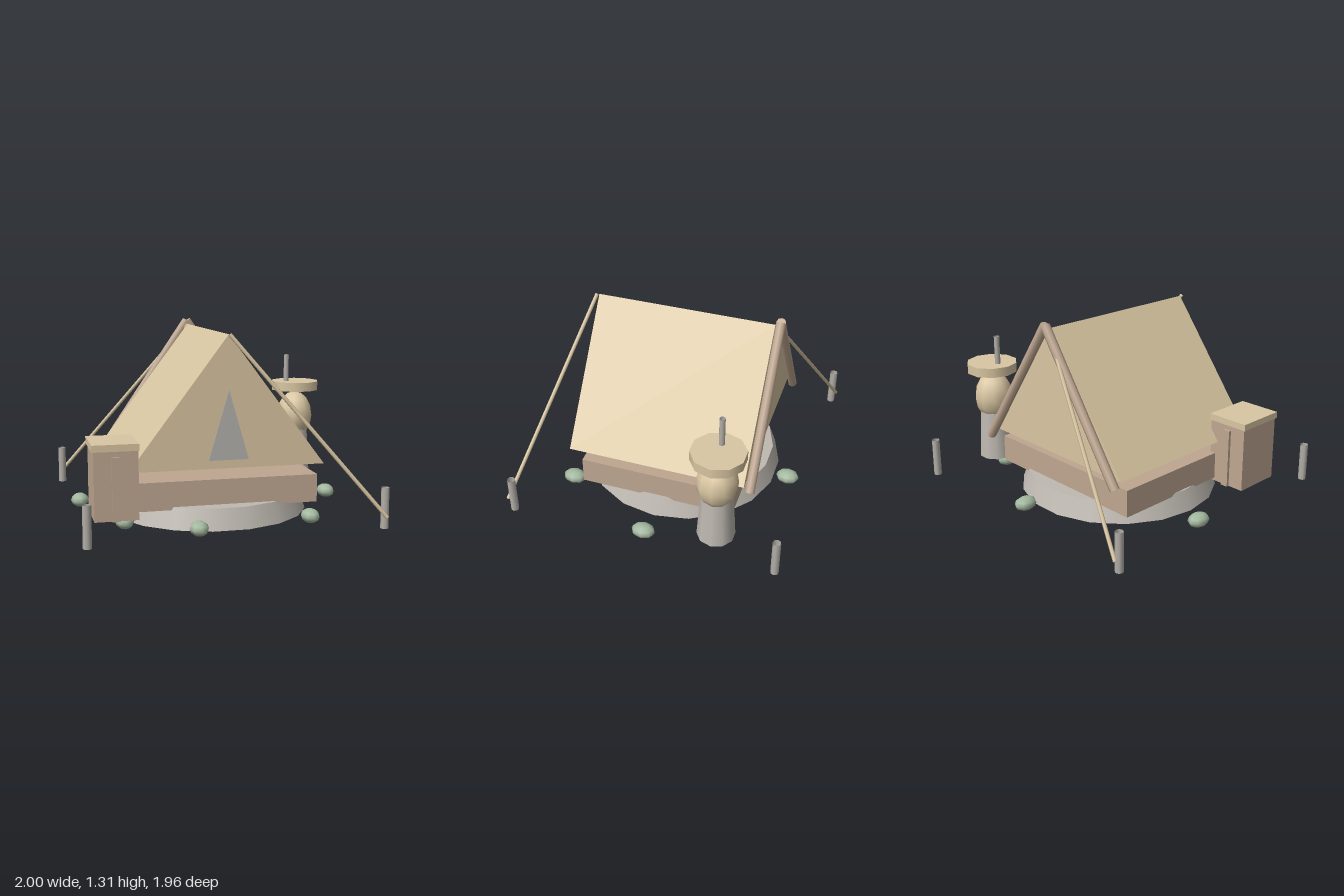
import * as THREE from 'three';

export function createModel() {
  const group = new THREE.Group();
  const material = (name, color, side = THREE.FrontSide) => {
    const m = new THREE.MeshStandardMaterial({ color, side });
    m.name = name;
    return m;
  };
  const canvas = material('canvas', 0xdac7a3);
  const wood = material('wood', 0xbfa791);
  const stone = material('stone', 0xbfbab2);
  const metal = material('metal', 0xb3afa8, THREE.DoubleSide);
  const flap = material('flap', 0xb6b4b0);
  const leaf = material('leaf', 0xa3b89f);

  const add = (name, geometry, mat, x = 0, y = 0, z = 0) => {
    const mesh = new THREE.Mesh(geometry, mat);
    mesh.name = name;
    mesh.position.set(x, y, z);
    group.add(mesh);
    return mesh;
  };
  const box = (name, mat, x0, x1, y0, y1, z0, z1) =>
    add(name, new THREE.BoxGeometry(x1 - x0, y1 - y0, z1 - z0), mat,
      (x0 + x1) / 2, (y0 + y1) / 2, (z0 + z1) / 2);
  // Upright round part between two heights, with a corner on the x axis
  const round = (name, mat, rTop, rBottom, y0, y1, x, z, sides, open = false) => {
    const g = new THREE.CylinderGeometry(rTop, rBottom, y1 - y0, sides, 1, open);
    return add(name, g.rotateY(Math.PI / 2), mat, x, (y0 + y1) / 2, z);
  };
  // Straight rod between two points
  const rod = (name, mat, a, b, radius, sides) => {
    const from = new THREE.Vector3(...a), to = new THREE.Vector3(...b);
    const dir = to.clone().sub(from);
    const mesh = add(name, new THREE.CylinderGeometry(radius, radius, dir.length(), sides), mat);
    mesh.position.copy(from).add(to).multiplyScalar(0.5);
    mesh.quaternion.setFromUnitVectors(new THREE.Vector3(0, 1, 0), dir.normalize());
  };
  // Triangular prism running along z
  const prism = (name, mat, x0, x1, y0, y1, z0, z1) => {
    const shape = new THREE.Shape([
      new THREE.Vector2(x0, y0), new THREE.Vector2(x1, y0), new THREE.Vector2((x0 + x1) / 2, y1),
    ]);
    add(name, new THREE.ExtrudeGeometry(shape, { depth: z1 - z0, bevelEnabled: false }), mat, 0, 0, z0);
  };

  // Foundation and wooden deck
  round('stoneBase', stone, 0.655, 0.705, 0, 0.14, -0.01, -0.01, 18);
  box('deck', wood, -0.65, 0.63, 0.12, 0.31, -0.555, 0.535);

  // Tent with a door flap on the front
  prism('tent', canvas, -0.67, 0.645, 0.4, 1.27, -0.63, 0.615);
  prism('doorFlap', flap, -0.145, 0.123, 0.455, 0.915, 0.615, 0.62);

  // Crossed poles at the back, guy ropes on opposite corners
  for (const s of [-1, 1]) {
    rod('backPole', wood, [-0.012, 1.295, -0.667], [-0.012 + s * 0.64, 0.352, -0.667], 0.033, 8);
    rod('guyRope', canvas, [-0.01, 1.27, s * 0.635 - 0.005], [s * 0.96 - 0.008, 0.1, s * 0.97], 0.013, 6);
    for (const t of [-1, 1])
      round('stake', metal, 0.028, 0.028, 0.02, 0.29, s * 0.96 - 0.008, t * 0.93 - 0.005, 8, true);
  }

  // Chest with lid and strap
  box('chest', wood, -0.893, -0.608, 0.1, 0.55, 0.31, 0.65);
  box('chestLid', canvas, -0.905, -0.602, 0.55, 0.595, 0.3, 0.655);
  box('chestStrap', wood, -0.78, -0.727, 0.1, 0.515, 0.29, 0.668);

  // Lantern post: pedestal, rounded body, disc cap and off-centre pin
  round('pedestal', stone, 0.108, 0.13, 0.1, 0.45, 0.81, -0.495, 10);
  add('lanternBody', new THREE.SphereGeometry(1, 10, 8), canvas, 0.815, 0.56, -0.495)
    .scale.set(0.14, 0.18, 0.14);
  round('lanternCap', canvas, 0.184, 0.184, 0.757, 0.825, 0.815, -0.498, 10);
  round('lanternPin', metal, 0.02, 0.02, 0.825, 1.03, 0.745, -0.498, 8, true);

  // Ring of low bushes
  const spots = [[0.9, -0.01], [0.545, 0.645], [-0.245, 0.775], [-0.68, 0.5],
    [-0.907, -0.15], [0.07, -0.815], [0.755, -0.44]];
  for (const [x, z] of spots)
    add('bush', new THREE.SphereGeometry(1, 8, 6), leaf, x, 0.055, z).scale.set(0.063, 0.048, 0.083);

  return group;
}
